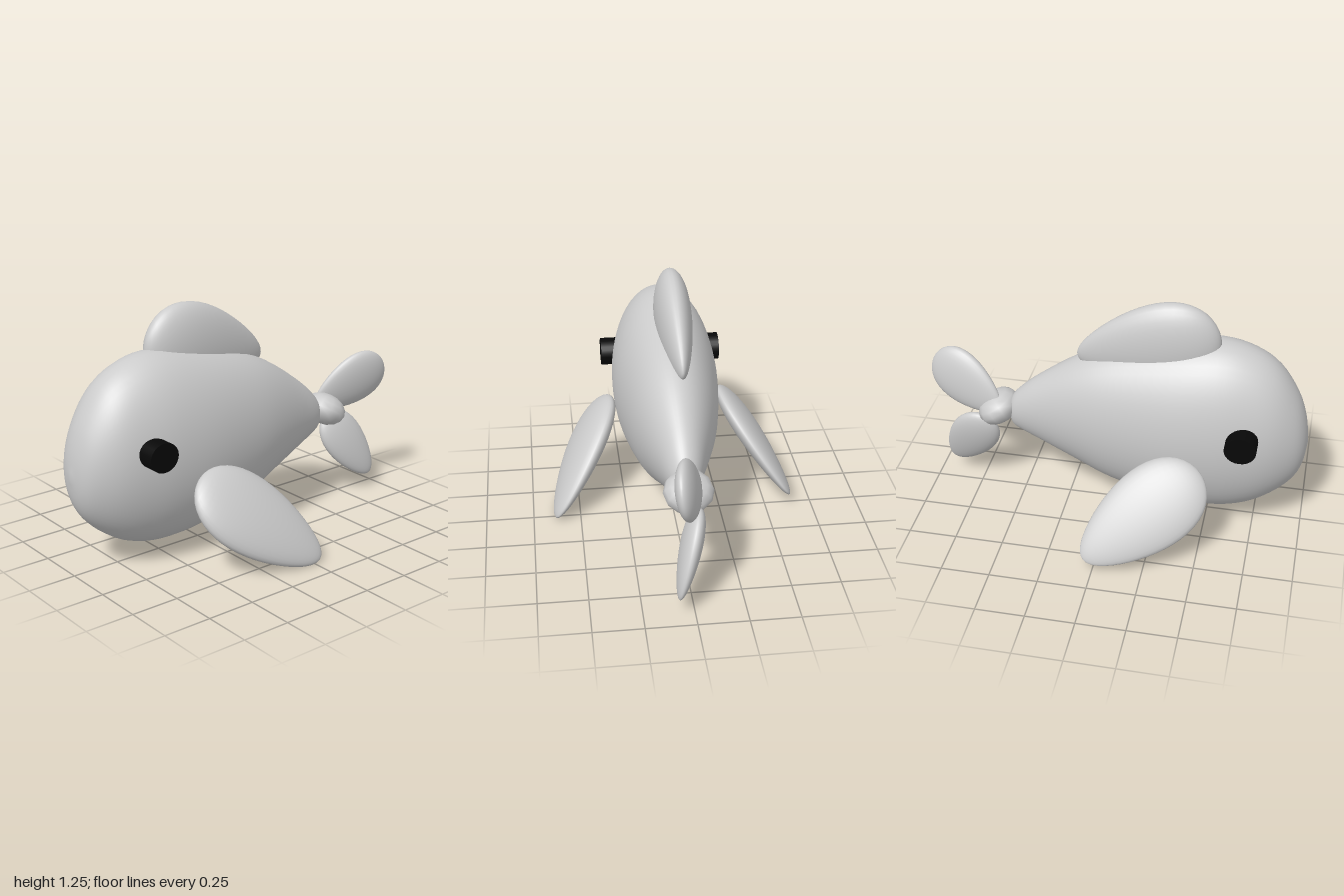
import * as THREE from 'three';
import { mergeVertices } from 'three/addons/utils/BufferGeometryUtils.js';

const grey = new THREE.MeshStandardMaterial({ color: 0xcccccc });
const black = new THREE.MeshStandardMaterial({ color: 0x080808 });

// Weld the seam and give smooth normals
function smooth(geo) {
  geo.deleteAttribute('uv');
  geo.deleteAttribute('normal');
  const g = mergeVertices(geo, 1e-5);
  g.computeVertexNormals();
  return g;
}

function add(group, name, geo, mat = grey) {
  const mesh = new THREE.Mesh(geo, mat);
  mesh.name = name;
  group.add(mesh);
  return mesh;
}

// Flattened egg from base to tip; e > 0 makes the base the fat end.
// "across" points roughly along the blade's width.
function blade(base, tip, across, halfWidth, halfThick, e) {
  const a = new THREE.Vector3(...base), b = new THREE.Vector3(...tip);
  const axis = a.clone().sub(b);
  const half = axis.length() / 2;
  axis.normalize();
  const w = new THREE.Vector3(...across);
  w.addScaledVector(axis, -w.dot(axis)).normalize();
  const n = w.clone().cross(axis);

  const geo = new THREE.SphereGeometry(1, 32, 24);
  const p = geo.attributes.position;
  for (let i = 0; i < p.count; i++) {
    const k = (1 + e * p.getY(i)) / (1 + 0.5 * e * e);
    p.setX(i, p.getX(i) * k);
    p.setZ(i, p.getZ(i) * k);
  }
  const m = new THREE.Matrix4().makeBasis(
    w.multiplyScalar(halfWidth), axis.multiplyScalar(half), n.multiplyScalar(halfThick));
  m.setPosition(a.add(b).multiplyScalar(0.5));
  return smooth(geo.applyMatrix4(m));
}

// Body stations from nose to tail: x, top, bottom, half width
const stations = [
  [-1, 0.52, 0.52, 0], [-0.98, 0.66, 0.39, 0.085], [-0.93, 0.8, 0.29, 0.15],
  [-0.83, 0.945, 0.195, 0.215], [-0.7, 1.03, 0.12, 0.255], [-0.53, 1.065, 0.085, 0.28],
  [-0.3, 1.035, 0.1, 0.278], [0, 0.965, 0.175, 0.235], [0.2, 0.88, 0.265, 0.185],
  [0.4, 0.745, 0.355, 0.12], [0.5, 0.66, 0.4, 0.085], [0.55, 0.6, 0.435, 0.055],
  [0.57, 0.525, 0.525, 0],
];

function bodyGeometry() {
  const curve = pick => new THREE.CatmullRomCurve3(
    stations.map(s => new THREE.Vector3(...pick(s))), false, 'catmullrom', 0.5);
  const profile = curve(s => [s[0], s[1], s[2]]);
  const width = curve(s => [s[0], s[3], 0]);
  const geo = new THREE.SphereGeometry(1, 48, 48);
  const p = geo.attributes.position, uv = geo.attributes.uv;
  for (let i = 0; i < p.count; i++) {
    const t = 1 - uv.getY(i), phi = uv.getX(i) * Math.PI * 2;
    const c = profile.getPoint(t), w = width.getPoint(t).y;
    p.setXYZ(i, c.x, (c.y + c.z) / 2 - Math.cos(phi) * (c.y - c.z) / 2, Math.sin(phi) * w);
  }
  return smooth(geo);
}

export function createModel() {
  const model = new THREE.Group();
  model.name = 'whale';

  add(model, 'body', bodyGeometry());

  // Eyes
  for (const side of [1, -1]) {
    const eye = add(model, side > 0 ? 'frontEye' : 'backEye',
      new THREE.CylinderGeometry(0.08, 0.08, 0.15, 24), black);
    eye.rotation.x = Math.PI / 2;
    eye.scale.z = 0.92;
    eye.position.set(-0.682, 0.645, side * 0.255);
  }

  // Back fin
  add(model, 'dorsalFin', blade([-0.53, 1.1, -0.028], [0.19, 0.91, -0.028],
    [0.25, 0.97, 0], 0.228, 0.097, 0.35));

  // Side flippers, the far one slightly raised and thinner
  add(model, 'frontFlipper', blade([-0.49, 0.465, 0.32], [0.045, 0.03, 0.625],
    [0.68, 0.61, -0.41], 0.212, 0.075, 0.28));
  add(model, 'backFlipper', blade([-0.49, 0.485, -0.32], [0.045, 0.085, -0.625],
    [0.68, 0.61, 0.41], 0.212, 0.062, 0.28));

  // Tail joint and flukes
  const joint = add(model, 'tailJoint', new THREE.SphereGeometry(1, 12, 8));
  joint.scale.set(0.115, 0.085, 0.125);
  joint.rotation.z = -0.55;
  joint.position.set(0.63, 0.52, 0);

  add(model, 'upperFluke', blade([0.61, 0.535, -0.05], [0.99, 0.745, 0.08],
    [-0.45, 0.9, 0.05], 0.148, 0.052, -0.3));
  add(model, 'lowerFluke', blade([0.68, 0.465, -0.045], [0.92, 0.1, 0.075],
    [0.85, 0.5, -0.05], 0.128, 0.052, 0.25));

  return model;
}
